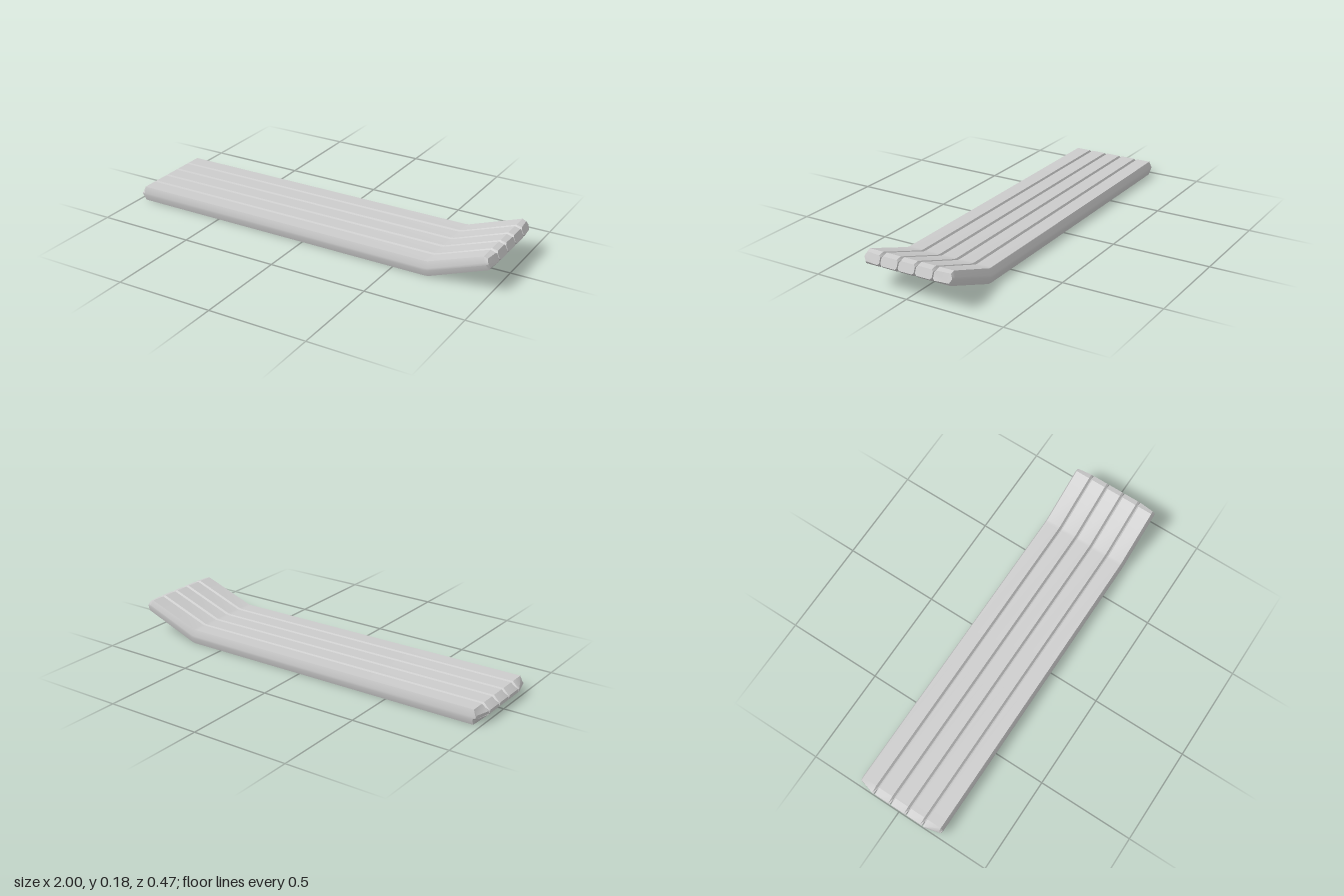
import * as THREE from 'three';
import { toCreasedNormals } from 'three/addons/utils/BufferGeometryUtils.js';

// Side profile of every plank: bottom [x, y] and top [x, y] at each station
const STATIONS = [
  { bottom: [-1, 0.03], top: [-1, 0.048], trim: 0.02 },
  { bottom: [-0.965, 0], top: [-0.965, 0.075] },
  { bottom: [0.67, 0], top: [0.66, 0.075] },
  { bottom: [0.69, 0.003], top: [0.68, 0.077] },
  { bottom: [0.985, 0.115], top: [0.955, 0.176] },
  { bottom: [1, 0.128], top: [0.983, 0.169], trim: -0.008 },
];
// Edges between the planks across the deck
const EDGES = [-0.237, -0.141, -0.046, 0.046, 0.141, 0.237];

// Bevelled cross-section [z, v, isOuter], v running 0..1 from bottom to top
function section(a, b, outerA, outerB) {
  const inset = (outer) => (outer ? 0.011 : 0.009);
  const bevel = (outer) => (outer ? 0.42 : 0.2);
  const za = a + inset(outerA), zb = b - inset(outerB);
  const va = bevel(outerA), vb = bevel(outerB);
  return [
    [za, 0, outerA], [zb, 0, outerB], [b, vb, outerB], [b, 1 - vb, outerB],
    [zb, 1, outerB], [za, 1, outerA], [a, 1 - va, outerA], [a, va, outerA],
  ];
}

// Loft the cross-section along the stations and close both ends
function plankGeometry(a, b, outerA, outerB) {
  const ring = section(a, b, outerA, outerB);
  const n = ring.length, mid = (a + b) / 2;
  const positions = [], index = [];
  for (const { bottom, top, trim = 0 } of STATIONS) {
    for (const [z, v, outer] of ring) {
      positions.push(
        THREE.MathUtils.lerp(bottom[0], top[0], v) + (outer ? trim : 0),
        THREE.MathUtils.lerp(bottom[1], top[1], v),
        trim ? mid + (z - mid) * 0.93 : z
      );
    }
  }
  for (let j = 0; j < STATIONS.length - 1; j++) {
    for (let i = 0; i < n; i++) {
      const p = j * n + i, q = j * n + ((i + 1) % n);
      index.push(p, p + n, q, q, p + n, q + n);
    }
  }
  const last = (STATIONS.length - 1) * n;
  for (let i = 1; i < n - 1; i++) {
    index.push(0, i, i + 1, last, last + i + 1, last + i);
  }
  const geometry = new THREE.BufferGeometry();
  geometry.setAttribute('position', new THREE.Float32BufferAttribute(positions, 3));
  geometry.setIndex(index);
  return toCreasedNormals(geometry, 0.5);
}

export function createModel() {
  const group = new THREE.Group();
  group.name = 'bentPlankDeck';
  const material = new THREE.MeshStandardMaterial({ color: 0xcccccc });
  const count = EDGES.length - 1;
  for (let i = 0; i < count; i++) {
    const geometry = plankGeometry(EDGES[i], EDGES[i + 1], i === 0, i === count - 1);
    const plank = new THREE.Mesh(geometry, material);
    plank.name = `plank${i + 1}`;
    group.add(plank);
  }
  return group;
}
